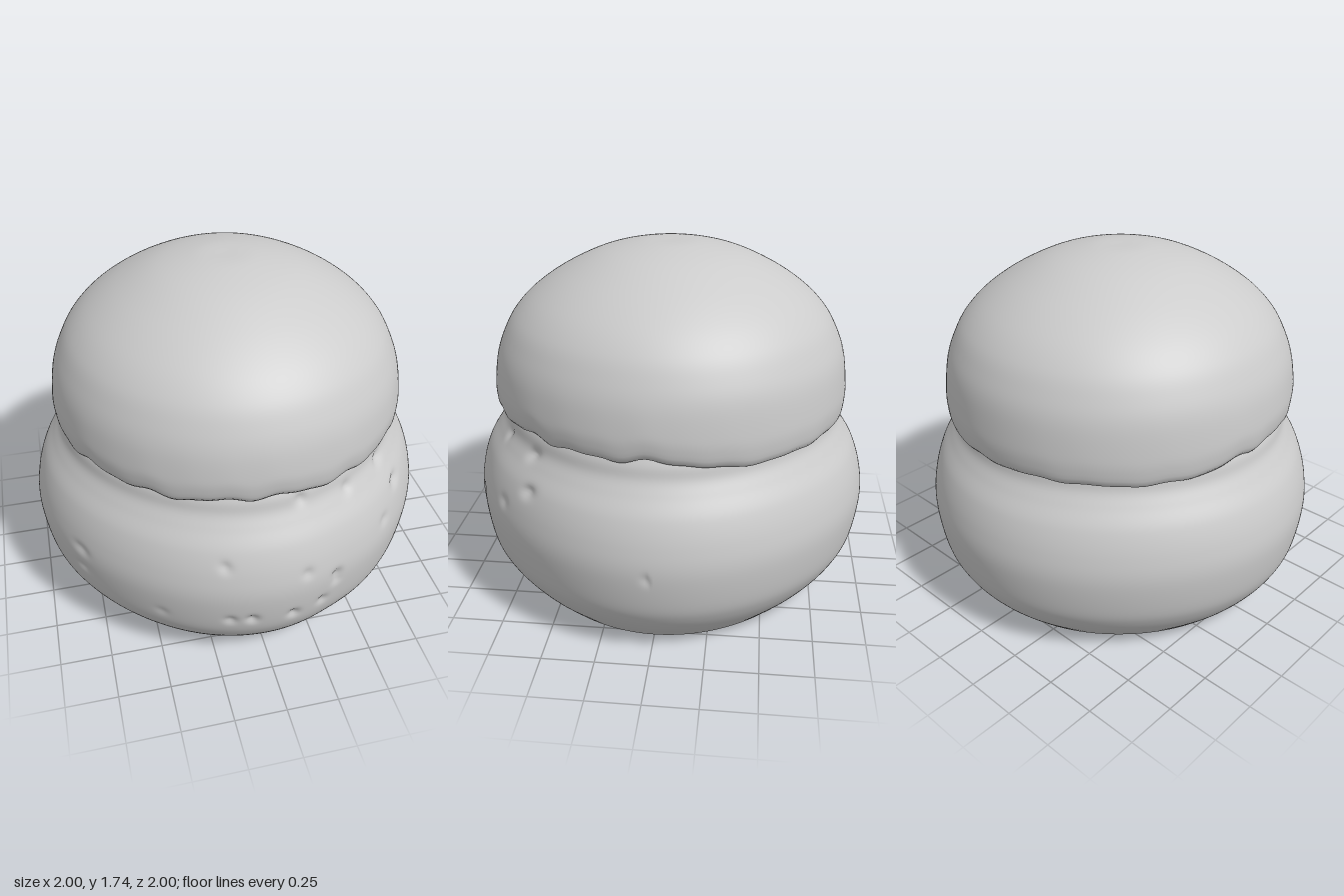
import * as THREE from 'three';
import { mergeVertices } from 'three/addons/utils/BufferGeometryUtils.js';

const material = new THREE.MeshStandardMaterial({ color: 0xcccccc });

// Smooth profile through [radius, height] points
function profile(points, count) {
  const curve = new THREE.SplineCurve(points.map(([r, y]) => new THREE.Vector2(r, y)));
  return curve.getSpacedPoints(count).map((p) => p.setX(Math.max(0, p.x)));
}

// Apply a rule to every vertex, weld the seam and smooth the normals
function shaped(geometry, rule) {
  geometry.deleteAttribute('uv');
  geometry.deleteAttribute('normal');
  const pos = geometry.attributes.position;
  const v = new THREE.Vector3();
  for (let i = 0; i < pos.count; i++) {
    v.fromBufferAttribute(pos, i);
    rule(v, Math.atan2(v.x, v.z));
    pos.setXYZ(i, v.x, v.y, v.z);
  }
  const welded = mergeVertices(geometry, 1e-5);
  welded.computeVertexNormals();
  return welded;
}

function part(name, geometry) {
  const mesh = new THREE.Mesh(geometry, material);
  mesh.name = name;
  return mesh;
}

// Small pits over the front of the body: x, y, depth
const pits = [
  [-0.22, 0.66, 0.012], [-0.2, 0.34, 0.015], [-0.1, 0.34, 0.02], [0.1, 0.33, 0.02],
  [0.25, 0.35, 0.015], [0.32, 0.49, 0.018], [0.32, 0.45, 0.012], [0.16, 0.57, 0.012],
  [0.15, 0.9, 0.015], [0.4, 0.85, 0.015], [0.62, 0.85, 0.02], [0.72, 0.71, 0.02],
  [0.62, 0.6, 0.01], [-0.83, 0.52, 0.012], [-0.83, 0.4, 0.01], [-0.5, 0.34, 0.006],
  [0.985, 0.46, 0.012],
];

// Slightly squared, uneven roundness of the body
function warp(v, a) {
  const k = 1 - 0.022 * Math.sin(2 * a) ** 2 - 0.008 * Math.exp(-(((a - 0.35) / 0.15) ** 2));
  v.x *= k;
  v.z *= k;
}

function dentedBody(v, a) {
  warp(v, a);
  if (v.z <= 0) return;
  let depth = 0;
  for (const [x, y, d] of pits) {
    const dz = v.z - Math.sqrt(Math.max(0, 0.96 - x * x)) * (Math.abs(x) > 0.9 ? 1 : 0);
    const side = Math.abs(x) > 0.9 ? dz * dz : 0;
    depth += d * Math.exp(-((v.x - x) ** 2 + (v.y - y) ** 2 + side) / 0.0007);
  }
  const r = Math.hypot(v.x, v.z) || 1;
  v.x *= 1 - depth / r;
  v.z *= 1 - depth / r;
}

// Wavy rim, level at the front and hanging lower at the back
function drapedCap(v, a) {
  const rim = THREE.MathUtils.clamp((1.25 - v.y) / 0.28, 0, 1);
  const weight = rim * rim * (3 - 2 * rim);
  const back = THREE.MathUtils.smoothstep(-Math.cos(a), -0.1, 0.5);
  const ripple = 0.008 * Math.sin(17 * a) + 0.005 * Math.sin(29 * a + 1) + 0.006 * Math.sin(7 * a + 2);
  v.y += weight * (-0.045 * back + ripple * (1 - 0.6 * back));
  v.z *= 1.015;
}

export function createModel() {
  const group = new THREE.Group();
  const sides = 480;

  // Bulging lower body with a narrow neck
  const bodyPoints = profile([
    [0.775, 0], [0.87, 0.1], [0.94, 0.2], [0.978, 0.3], [1, 0.47], [0.985, 0.6],
    [0.945, 0.72], [0.89, 0.81], [0.855, 0.87], [0.84, 0.93], [0.81, 0.99],
  ], 80);
  group.add(part('body', shaped(new THREE.LatheGeometry(bodyPoints, sides), dentedBody)));

  // Flat underside
  const base = new THREE.CircleGeometry(0.775, 120).rotateX(Math.PI / 2);
  group.add(part('base', shaped(base, warp)));

  // Domed cap overhanging the neck
  const capPoints = profile([
    [0, 0.985], [0.4, 0.98], [0.78, 0.97], [0.835, 0.957], [0.858, 0.975], [0.867, 1.02],
    [0.868, 1.08], [0.85, 1.2], [0.815, 1.3], [0.76, 1.4], [0.665, 1.5],
    [0.52, 1.6], [0.34, 1.685], [0.15, 1.73], [0, 1.735],
  ], 110);
  group.add(part('cap', shaped(new THREE.LatheGeometry(capPoints, 240), drapedCap)));

  return group;
}
